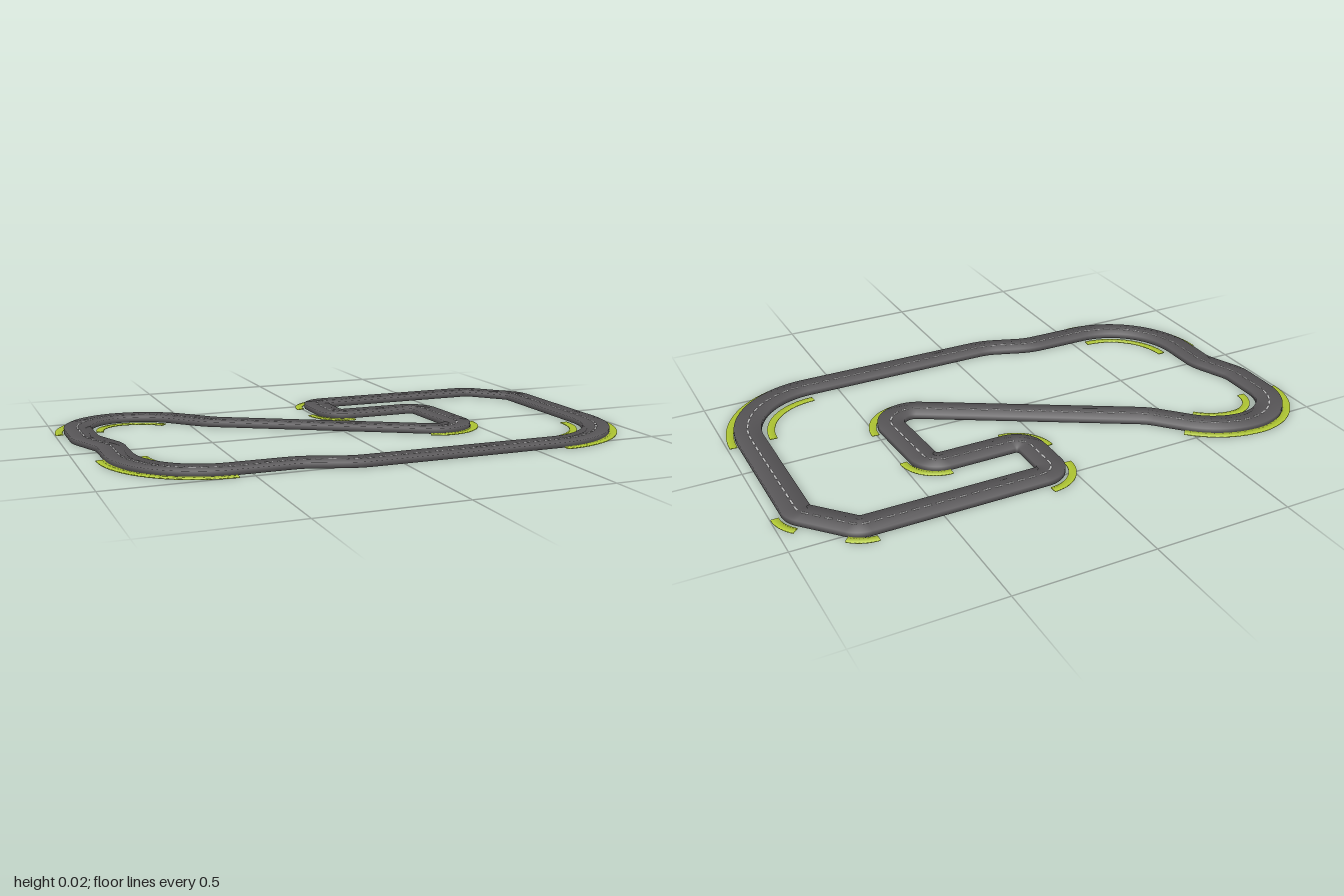
import * as THREE from 'three';
import { mergeGeometries } from 'three/addons/utils/BufferGeometryUtils.js';

const V2 = (x, z) => new THREE.Vector2(x, z);

// Corners of the circuit: x, z, bend radius
const corners = [
  [-0.858, 0.425, 0.305], [-0.32, 0.425, 0.25], [-0.15, 0.487, 0.25], [0.914, 0.487, 0.305],
  [0.914, -0.33, 0.055], [0.768, -0.49, 0.055], [0.06, -0.49, 0.06], [0.06, -0.25, 0.06],
  [0.42, -0.25, 0.06], [0.444, 0.206, 0.09], [-0.425, -0.3, 0.2], [-0.612, -0.5, 0.283],
  [-0.917, -0.5, 0.18], [-0.917, -0.17, 0.13], [-0.858, -0.02, 0.13],
];

// Centre line with every corner rounded to its radius
function roundedLoop(list) {
  const points = [];
  list.forEach(([x, z, r], i) => {
    const prev = list[(i + list.length - 1) % list.length];
    const next = list[(i + 1) % list.length];
    const v = V2(x, z);
    const d1 = V2(x - prev[0], z - prev[1]).normalize();
    const d2 = V2(next[0] - x, next[1] - z).normalize();
    const turn = Math.atan2(d1.cross(d2), d1.dot(d2));
    const n = V2(-d1.y, d1.x).multiplyScalar(Math.sign(turn));
    const angle = Math.abs(turn);
    const start = v.addScaledVector(d1, -r * Math.tan(angle / 2));
    const steps = Math.max(4, Math.ceil(angle / 0.08));
    for (let k = 0; k <= steps; k++) {
      const a = angle * k / steps;
      points.push(start.clone().addScaledVector(d1, r * Math.sin(a)).addScaledVector(n, r * (1 - Math.cos(a))));
    }
  });
  return points;
}

// Points along one or more arcs: centre x, centre z, radius, start and end in degrees
function arcPoints(arcs) {
  return arcs.flatMap(([cx, cz, r, from, to], index) => {
    const steps = Math.ceil(Math.abs(to - from) / 5);
    const part = [];
    for (let k = index ? 1 : 0; k <= steps; k++) {
      const a = THREE.MathUtils.degToRad(from + (to - from) * k / steps);
      part.push(V2(cx + r * Math.cos(a), cz + r * Math.sin(a)));
    }
    return part;
  });
}

// Softly shaded rectangular bar swept along flat points
function sweep(points, width, bottom, top, closed = false) {
  const position = [], normal = [], index = [];
  const n = points.length;
  const ring = [[-1, 1], [1, 1], [1, -1], [-1, -1]];
  points.forEach((p, i) => {
    const before = points[closed ? (i + n - 1) % n : Math.max(i - 1, 0)];
    const after = points[closed ? (i + 1) % n : Math.min(i + 1, n - 1)];
    const t1 = p.clone().sub(before).normalize();
    const t2 = after.clone().sub(p).normalize();
    const t = t1.add(t2).normalize();
    for (const [side, up] of ring) {
      const w = side * width / 2;
      position.push(p.x - t.y * w, up > 0 ? top : bottom, p.y + t.x * w);
      normal.push(-t.y * side * Math.SQRT1_2, up * Math.SQRT1_2, t.x * side * Math.SQRT1_2);
    }
  });
  for (let i = 0; i < (closed ? n : n - 1); i++) {
    const next = (i + 1) % n;
    for (let j = 0; j < 4; j++) {
      const k = (j + 1) % 4;
      const a = i * 4 + j, b = i * 4 + k, c = next * 4 + j, d = next * 4 + k;
      index.push(a, b, c, b, d, c);
    }
  }
  if (!closed) {
    const e = (n - 1) * 4;
    index.push(0, 2, 1, 0, 3, 2, e, e + 1, e + 2, e, e + 2, e + 3);
  }
  const geometry = new THREE.BufferGeometry();
  geometry.setAttribute('position', new THREE.Float32BufferAttribute(position, 3));
  geometry.setAttribute('normal', new THREE.Float32BufferAttribute(normal, 3));
  geometry.setIndex(index);
  return geometry;
}

// Kerbs, each made of one or two arcs
const kerbs = [
  [[-0.553, 0.126, 0.367, 90, 180]],
  [[-0.553, 0.126, 0.222, 90, 180]],
  [[0.612, 0.179, 0.367, 0, 90]],
  [[0.612, 0.179, 0.222, 0, 90]],
  [[0.73, -0.43, 0.13, -90, -45]],
  [[0.855, -0.313, 0.13, -45, 0]],
  [[0.12, -0.436, 0.13, 180, 270]],
  [[0.12, -0.308, 0.13, 90, 180]],
  [[0.366, -0.185, 0.125, -90, 0]],
  [[0.345, 0.035, 0.16, 0, 117]],
  [[-0.735, -0.313, 0.25, 180, 270], [-0.735, -0.217, 0.345, -90, -43]],
  [[-0.735, -0.313, 0.102, 180, 270], [-0.735, -0.217, 0.198, -90, -43]],
];

export function createModel() {
  const model = new THREE.Group();
  model.name = 'raceTrack';
  const add = (name, geometry, color) => {
    const mesh = new THREE.Mesh(geometry, new THREE.MeshStandardMaterial({ color }));
    mesh.name = name;
    model.add(mesh);
  };

  // Road slab
  const loop = roundedLoop(corners);
  add('road', sweep(loop, 0.097, 0.001, 0.02, true), 0x5c5a5c);

  // Dashed centre line
  const path = new THREE.Path().setFromPoints([...loop, loop[0]]);
  const length = path.getLength();
  const count = Math.round(length / 0.042);
  const dashes = [];
  for (let i = 0; i < count; i++) {
    const pts = [0, 0.3, 0.6].map((f) => path.getPoint((i + f) / count));
    dashes.push(sweep(pts, 0.006, 0.019, 0.0208));
  }
  add('centreLine', mergeGeometries(dashes), 0xd8d8d8);

  // Kerbs around the bends
  for (const arcs of kerbs) add('kerb', sweep(arcPoints(arcs), 0.027, 0, 0.004), 0xb9d136);

  return model;
}
